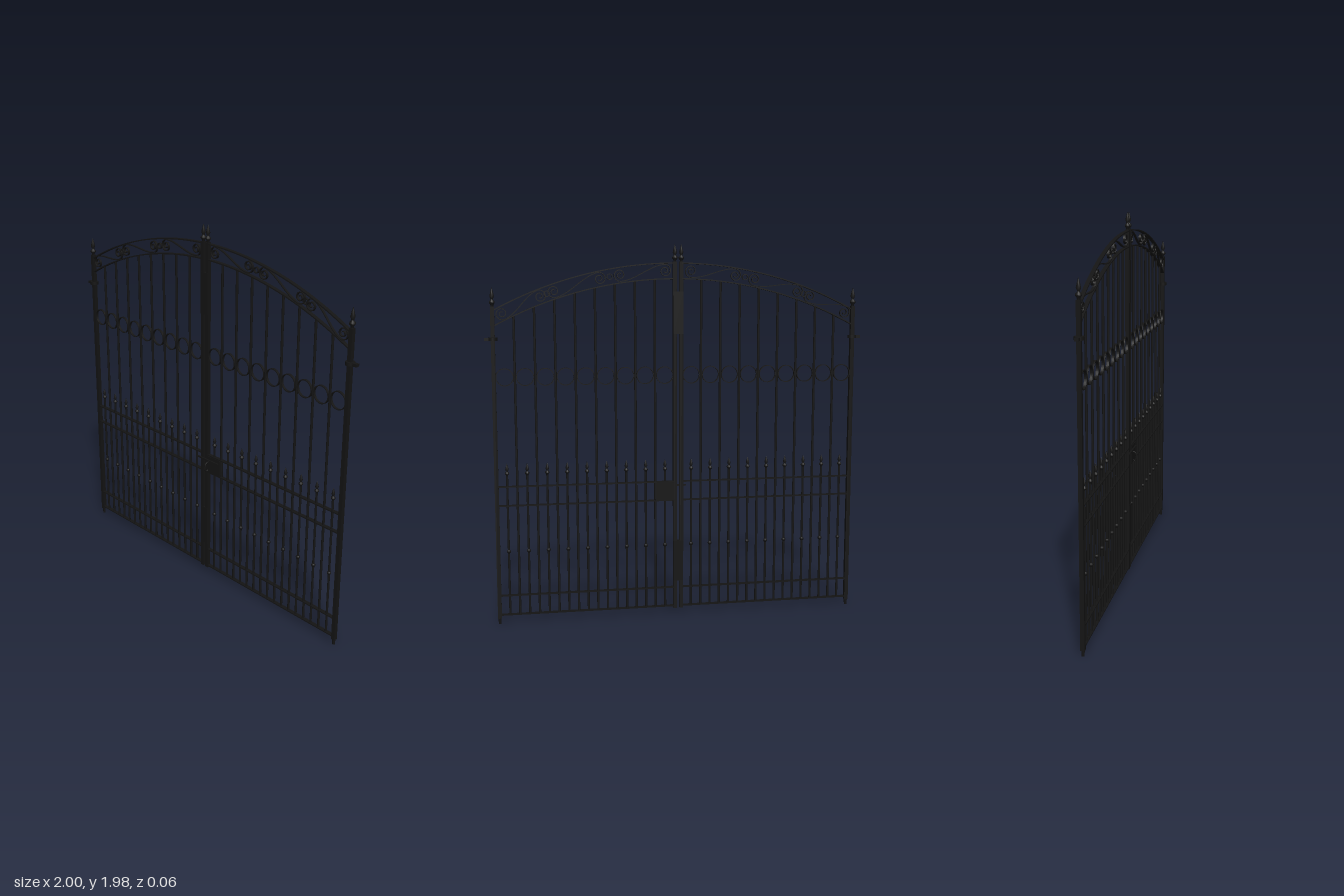
import * as THREE from 'three';

const Z = -0.009; // plane of the gate
const iron = new THREE.MeshStandardMaterial({ color: 0x141414 });
iron.name = 'black iron';

function createPart(parent, name, geometry, x = 0, y = 0, z = 0) {
  const mesh = new THREE.Mesh(geometry, iron);
  mesh.name = name;
  mesh.position.set(x, y, z);
  parent.add(mesh);
  return mesh;
}

// Upright square or round bar between two heights
function upright(parent, name, x, y0, y1, width, round = false) {
  const h = y1 - y0;
  const geo = round ? new THREE.CylinderGeometry(width / 2, width / 2, h, 10) : new THREE.BoxGeometry(width, h, width);
  return createPart(parent, name, geo, x, y0 + h / 2);
}

// Flat iron strip standing on edge, following a 2D path
function strip(points, thickness, depth) {
  const left = [], right = [];
  points.forEach((p, i) => {
    const a = points[Math.max(i - 1, 0)], b = points[Math.min(i + 1, points.length - 1)];
    const d = new THREE.Vector2().subVectors(b, a).normalize().multiplyScalar(thickness / 2);
    left.push(new THREE.Vector2(p.x - d.y, p.y + d.x));
    right.unshift(new THREE.Vector2(p.x + d.y, p.y - d.x));
  });
  const geo = new THREE.ExtrudeGeometry(new THREE.Shape([...left, ...right]), { depth, bevelEnabled: false });
  return geo.translate(0, 0, -depth / 2);
}

function ring(radius, thickness, depth) {
  const shape = new THREE.Shape().absarc(0, 0, radius, 0, Math.PI * 2);
  shape.holes.push(new THREE.Path().absarc(0, 0, radius - thickness, 0, Math.PI * 2, true));
  const geo = new THREE.ExtrudeGeometry(shape, { depth, bevelEnabled: false, curveSegments: 20 });
  return geo.translate(0, 0, -depth / 2);
}

// Turned spear point with a collar at its foot
function spear(height, radius) {
  const profile = [[0.5, 0], [0.55, 0.12], [1, 0.2], [1, 0.28], [0.5, 0.36], [0.45, 0.42], [0.8, 0.54], [0.45, 0.78], [0, 1]];
  return new THREE.LatheGeometry(profile.map(([r, y]) => new THREE.Vector2(r * radius, y * height)), 10);
}

// Arched rails are circular arcs of radius 2
const archY = (x, crown) => crown - 2 + Math.sqrt(4 - x * x);
const bandY = (x) => archY(x, 1.848);

// S-scroll: spirals at both ends joined by a sweeping stem
function scroll(x0, x1) {
  const a = new THREE.Vector2(x0, bandY(x0)), b = new THREE.Vector2(x1, bandY(x1));
  const tilt = Math.atan2(b.y - a.y, b.x - a.x);
  const half = a.distanceTo(b) / 2, mid = a.clone().add(b).multiplyScalar(0.5);
  const spiral = [];
  for (let i = 0; i <= 40; i++) {
    const t = i / 40, angle = Math.PI / 2 + (1 - t) * Math.PI * 3.3, r = 0.007 + 0.026 * t;
    spiral.push(new THREE.Vector2(-half + r * Math.cos(angle), r * Math.sin(angle)));
  }
  const stem = new THREE.CubicBezierCurve(
    new THREE.Vector2(-half, 0.033), new THREE.Vector2(-half * 0.3, 0.033),
    new THREE.Vector2(half * 0.3, -0.033), new THREE.Vector2(half, -0.033)).getPoints(16);
  const end = spiral.map((p) => p.clone().negate()).reverse();
  const origin = new THREE.Vector2();
  const path = [...spiral, ...stem.slice(1, -1), ...end].map((p) => p.rotateAround(origin, tilt).add(mid));
  return strip(path, 0.0045, 0.012);
}

function createLeaf(side) {
  const leaf = new THREE.Group();
  leaf.name = side > 0 ? 'leftLeaf' : 'rightLeaf';
  const at = (x) => x * side;

  // Posts, feet, finials and hinges
  upright(leaf, 'outerPost', at(0.956), 0.03, 1.665, 0.021);
  createPart(leaf, 'outerPostFoot', new THREE.CylinderGeometry(0.009, 0.007, 0.032, 10), at(0.956), 0.016);
  createPart(leaf, 'outerFinial', spear(0.1, 0.015), at(0.956), 1.662);
  upright(leaf, 'innerPost', at(0.017), 0.035, 1.895, 0.02);
  createPart(leaf, 'innerFinial', spear(0.092, 0.014), at(0.017), 1.892);
  createPart(leaf, 'hingeCollar', new THREE.CylinderGeometry(0.023, 0.023, 0.017, 16), at(0.956), 1.5);
  createPart(leaf, 'hingePin', new THREE.BoxGeometry(0.044, 0.014, 0.02), at(0.978), 1.5);

  // Straight and arched rails
  for (const y of [0.048, 0.152, 0.634, 0.735]) {
    createPart(leaf, 'rail', new THREE.BoxGeometry(0.93, 0.006, 0.02), at(0.487), y);
  }
  for (const crown of [1.807, 1.887]) {
    const points = [];
    for (let i = 0; i <= 32; i++) {
      const x = 0.02 + (0.93 * i) / 32;
      points.push(new THREE.Vector2(at(x), archY(x, crown)));
    }
    createPart(leaf, 'archedRail', strip(points, 0.006, 0.02), 0, 0);
  }

  // Tall bars up to the lower arch
  for (let i = 0; i < 8; i++) {
    const x = 0.123 + 0.1038 * i;
    upright(leaf, 'tallBar', at(x), 0.048, archY(x, 1.807), 0.013, true);
  }

  // Short spear-topped bars with knots, and the ring above each
  for (let i = 0; i < 9; i++) {
    const x = at(0.071 + 0.1038 * i);
    upright(leaf, 'shortBar', x, 0.048, 0.795, 0.012, true);
    createPart(leaf, 'spearTip', spear(0.07, 0.0115), x, 0.788);
    createPart(leaf, 'knot', new THREE.SphereGeometry(0.011, 10, 8), x, 0.39);
    createPart(leaf, 'ring', ring(0.046, 0.004, 0.013), x, 1.305);
  }

  // Scrollwork between the arches
  for (const [x0, x1] of [[0.069, 0.305], [0.41, 0.645], [0.715, 0.908]]) {
    createPart(leaf, 'scroll', scroll(at(x0), at(x1)));
  }
  for (const x of [0.358, 0.68]) {
    createPart(leaf, 'scrollRing', ring(0.016, 0.004, 0.012), at(x), bandY(x));
  }
  return leaf;
}

export function createModel() {
  const gate = new THREE.Group();
  gate.name = 'gate';
  gate.add(createLeaf(1), createLeaf(-1));

  // Cover plates where the leaves meet
  for (const y of [0.3, 1.63]) {
    createPart(gate, 'meetingPlate', new THREE.BoxGeometry(0.052, 0.22, 0.024), 0, y);
  }

  // Lock case, sliding bolt and pull handle
  createPart(gate, 'lockCase', new THREE.BoxGeometry(0.098, 0.096, 0.026), 0.074, 0.684);
  createPart(gate, 'bolt', new THREE.BoxGeometry(0.16, 0.008, 0.008), 0.035, 0.71, 0.017);
  const grip = new THREE.CatmullRomCurve3([[0.7, 0.012], [0.695, 0.03], [0.675, 0.037], [0.655, 0.036], [0.648, 0.026], [0.655, 0.02]]
    .map(([y, z]) => new THREE.Vector3(0.036, y, z)));
  createPart(gate, 'handle', new THREE.TubeGeometry(grip, 20, 0.0035, 8));

  gate.position.z = Z;
  const model = new THREE.Group();
  model.name = 'doubleGate';
  model.add(gate);
  return model;
}
